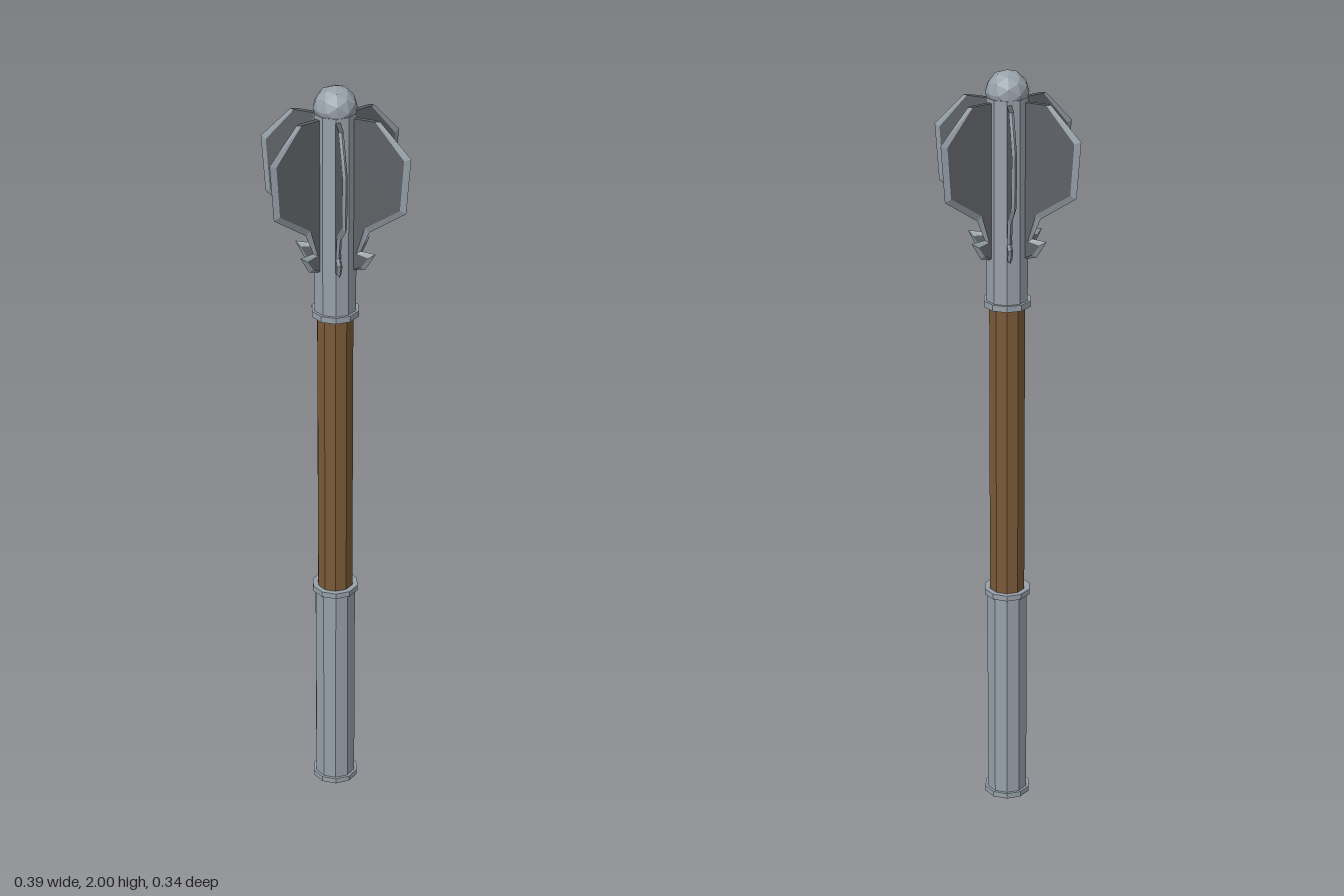
import * as THREE from 'three';

const material = (color) => new THREE.MeshStandardMaterial({ color, flatShading: true });

// Flange half-profile from top to bottom: [innerY, faceX, faceY, edgeX, edgeY]
const SECTIONS = [
  [1.925, 0.105, 1.925, 0.116, 1.925],
  [1.837, 0.180, 1.837, 0.196, 1.842],
  [1.706, 0.171, 1.706, 0.185, 1.698],
  [1.645, 0.080, 1.645, 0.090, 1.633],
  [1.572, 0.058, 1.573, 0.068, 1.579],
  [1.565, 0.090, 1.566, 0.107, 1.577],
  [1.540, 0.072, 1.540, 0.080, 1.532],
  [1.525, 0.042, 1.525, 0.052, 1.525],
];
const INNER = 0.03, HALF = 0.006;

// Flat dark cheeks (group 0) and a sharpened outer edge (group 1)
function flangeGeometry() {
  const cheeks = [], edges = [];
  const quad = (out, a, b, c, d) => out.push(...a, ...b, ...c, ...a, ...c, ...d);
  const rows = (side) => SECTIONS.map(([iy, fx, fy, ex, ey]) => ({
    inner: [INNER, iy, side * HALF],
    face: [fx, fy, side * HALF],
    edge: [ex, ey, 0],
  }));
  const front = rows(1), back = rows(-1);
  const last = SECTIONS.length - 1;
  for (let i = 0; i < last; i++) {
    const f = front[i], g = front[i + 1], p = back[i], q = back[i + 1];
    quad(cheeks, f.inner, g.inner, g.face, f.face);
    quad(cheeks, p.inner, p.face, q.face, q.inner);
    quad(edges, f.face, g.face, g.edge, f.edge);
    quad(edges, p.face, p.edge, q.edge, q.face);
  }
  // top and bottom ends
  const f = front[0], p = back[0], g = front[last], q = back[last];
  quad(cheeks, f.inner, f.face, p.face, p.inner);
  cheeks.push(...f.face, ...f.edge, ...p.face);
  quad(cheeks, g.inner, q.inner, q.face, g.face);
  cheeks.push(...g.face, ...q.face, ...g.edge);

  const geometry = new THREE.BufferGeometry();
  geometry.setAttribute('position', new THREE.Float32BufferAttribute([...cheeks, ...edges], 3));
  geometry.addGroup(0, cheeks.length / 3, 0);
  geometry.addGroup(cheeks.length / 3, edges.length / 3, 1);
  geometry.computeVertexNormals();
  return geometry;
}

export function createModel() {
  const model = new THREE.Group();
  const steel = material(0x98a1aa);
  const darkSteel = material(0x5e6266);
  const wood = material(0x7a5a38);

  const add = (name, geometry, mat, y = 0) => {
    const mesh = new THREE.Mesh(geometry, mat);
    mesh.name = name;
    mesh.position.y = y;
    model.add(mesh);
    return mesh;
  };
  const rod = (name, radius, from, to, mat) =>
    add(name, new THREE.CylinderGeometry(radius, radius, to - from, 10), mat, (from + to) / 2);

  // Shaft pieces
  rod('grip', 0.054, 0, 0.605, steel);
  rod('woodenShaft', 0.047, 0.6, 1.4, wood);
  rod('headSocket', 0.054, 1.4, 1.935, steel);

  // Collars
  rod('pommelCollar', 0.061, 0, 0.015, steel);
  rod('gripCollar', 0.061, 0.595, 0.61, steel);
  rod('headCollar', 0.061, 1.397, 1.413, steel);

  // Ball on top
  add('ballFinial', new THREE.IcosahedronGeometry(0.054, 1), steel, 1.946);

  // Six flanges around the head
  const flange = flangeGeometry();
  for (let i = 0; i < 6; i++) {
    add('flange' + (i + 1), flange, [darkSteel, steel]).rotation.y = (i * Math.PI) / 3;
  }
  return model;
}
